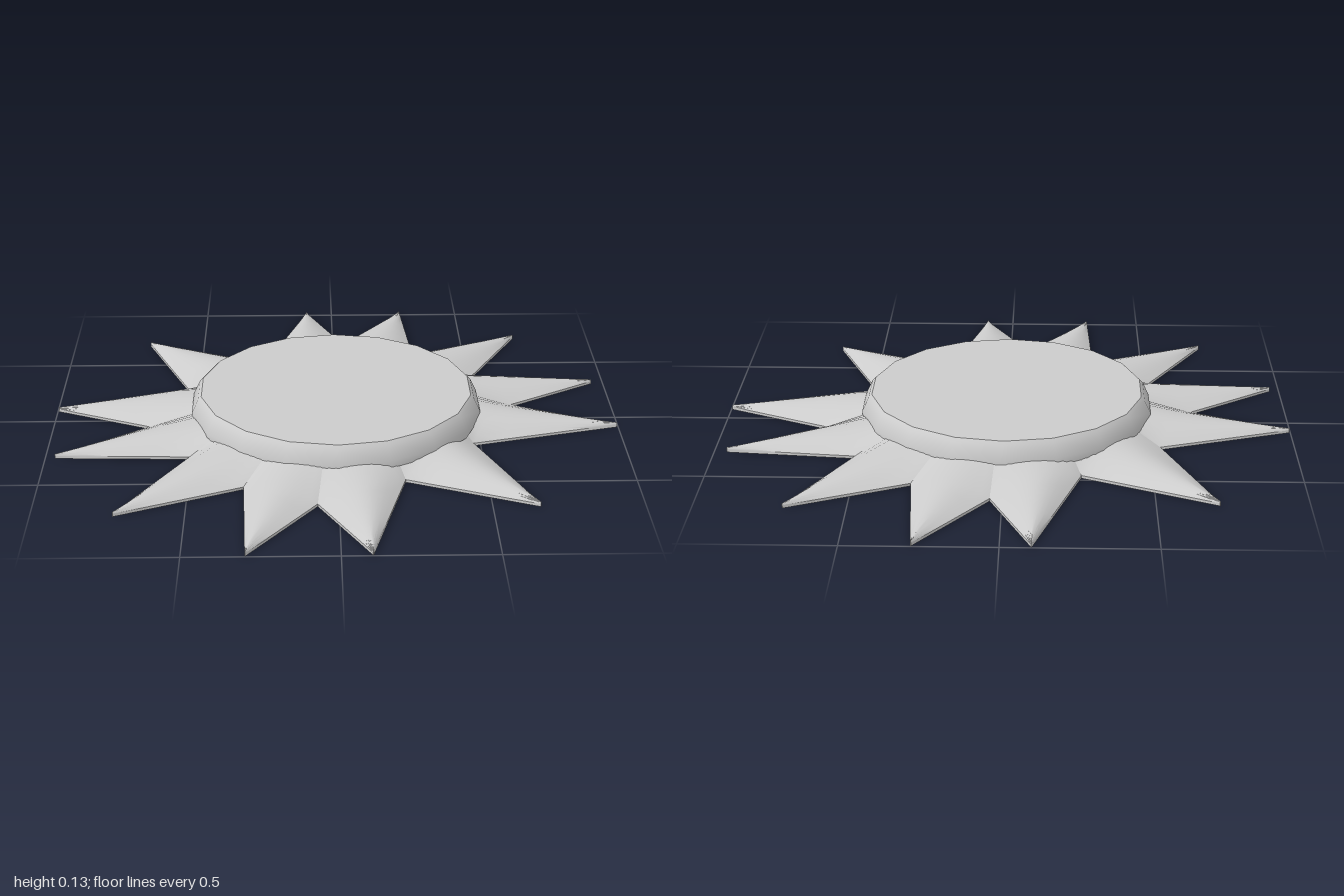
import * as THREE from 'three';
import { toCreasedNormals } from 'three/addons/utils/BufferGeometryUtils.js';

// Star outline in (x, z): spike tips, and the notch following each tip
const TIPS = [[-0.1, -1], [0.275, -1], [0.71, -0.74], [0.96, -0.3], [1, 0.08], [0.66, 0.685],
  [0.1, 1], [-0.3, 1], [-0.735, 0.73], [-0.97, 0.3], [-1, -0.085], [-0.71, -0.69]];
const NOTCHES = [[0.04, -0.67], [0.305, -0.56], [0.51, -0.345], [0.635, -0.095], [0.475, 0.225], [0.225, 0.5],
  [-0.07, 0.67], [-0.315, 0.545], [-0.505, 0.315], [-0.66, 0.07], [-0.535, -0.245], [-0.26, -0.485]];

const INNER = 0.47, SHOULDER = 0.07, EDGE = 0.01, TIP_HEIGHT = 0.017;
const lerp = THREE.MathUtils.lerp;
const mix = (a, b, t) => [lerp(a[0], b[0], t), lerp(a[1], b[1], t)];

// Arched spike: rows run from under the disc to the tip, columns run across it
function spikeGeometry(before, tip, after) {
  const across = 10, rows = 7, pos = [], index = [];
  const reach = Math.hypot(...tip);
  for (let r = 0; r < rows; r++) {
    const t = Math.max(0, (r - 1) / (rows - 2)) * 0.99;
    const left = mix(before, tip, t), right = mix(after, tip, t);
    for (let c = -1; c <= across + 1; c++) {
      const u = THREE.MathUtils.clamp(c / across, 0, 1);
      let [x, z] = mix(left, right, u);
      const radius = Math.hypot(x, z);
      const ridge = lerp(SHOULDER, TIP_HEIGHT, THREE.MathUtils.clamp((radius - 0.5) / (reach - 0.5), 0, 1));
      let y = lerp(EDGE, ridge, Math.sin(Math.PI * u));
      if (r === 0) {
        x *= INNER / radius;
        z *= INNER / radius;
        y = SHOULDER;
      }
      // Outer columns drop to the ground as side walls
      if (c < 0 || c > across) y = 0;
      pos.push(x, y, z);
    }
  }
  const w = across + 3;
  for (let r = 0; r < rows - 1; r++) {
    for (let c = 0; c < w - 1; c++) {
      const a = r * w + c;
      index.push(a, a + 1, a + w + 1, a, a + w + 1, a + w);
    }
  }
  // Close the blunt tip
  const end = (rows - 1) * w;
  for (let c = 1; c < w - 1; c++) index.push(end, end + c, end + c + 1);
  const geo = new THREE.BufferGeometry();
  geo.setAttribute('position', new THREE.Float32BufferAttribute(pos, 3));
  geo.setIndex(index);
  return toCreasedNormals(geo, 0.8);
}

export function createModel() {
  const model = new THREE.Group();
  model.name = 'sunburst';
  const stone = new THREE.MeshStandardMaterial({ color: 0xcccccc });
  stone.name = 'lightGrey';
  const add = (geo, name, parent = model) => {
    const mesh = new THREE.Mesh(geo, stone);
    mesh.name = name;
    parent.add(mesh);
  };

  // Raised disc with a small bevel and sloping rim
  const profile = [[0.515, 0.045], [0.515, 0.07], [0.492, 0.118], [0.48, 0.13], [0, 0.13]]
    .map(([r, y]) => new THREE.Vector2(r, y));
  add(toCreasedNormals(new THREE.LatheGeometry(profile, 18), 0.6), 'disc');

  // Ring of spikes
  const spikes = new THREE.Group();
  spikes.name = 'spikes';
  model.add(spikes);
  TIPS.forEach((tip, i) => {
    const before = NOTCHES[(i + NOTCHES.length - 1) % NOTCHES.length];
    add(spikeGeometry(before, tip, NOTCHES[i]), 'spike' + (i + 1), spikes);
  });

  // Flat underside
  const outline = TIPS.flatMap((tip, i) => [tip, NOTCHES[i]]).map(([x, z]) => new THREE.Vector2(x, z));
  add(new THREE.ShapeGeometry(new THREE.Shape(outline)).rotateX(Math.PI / 2), 'underside');

  return model;
}
